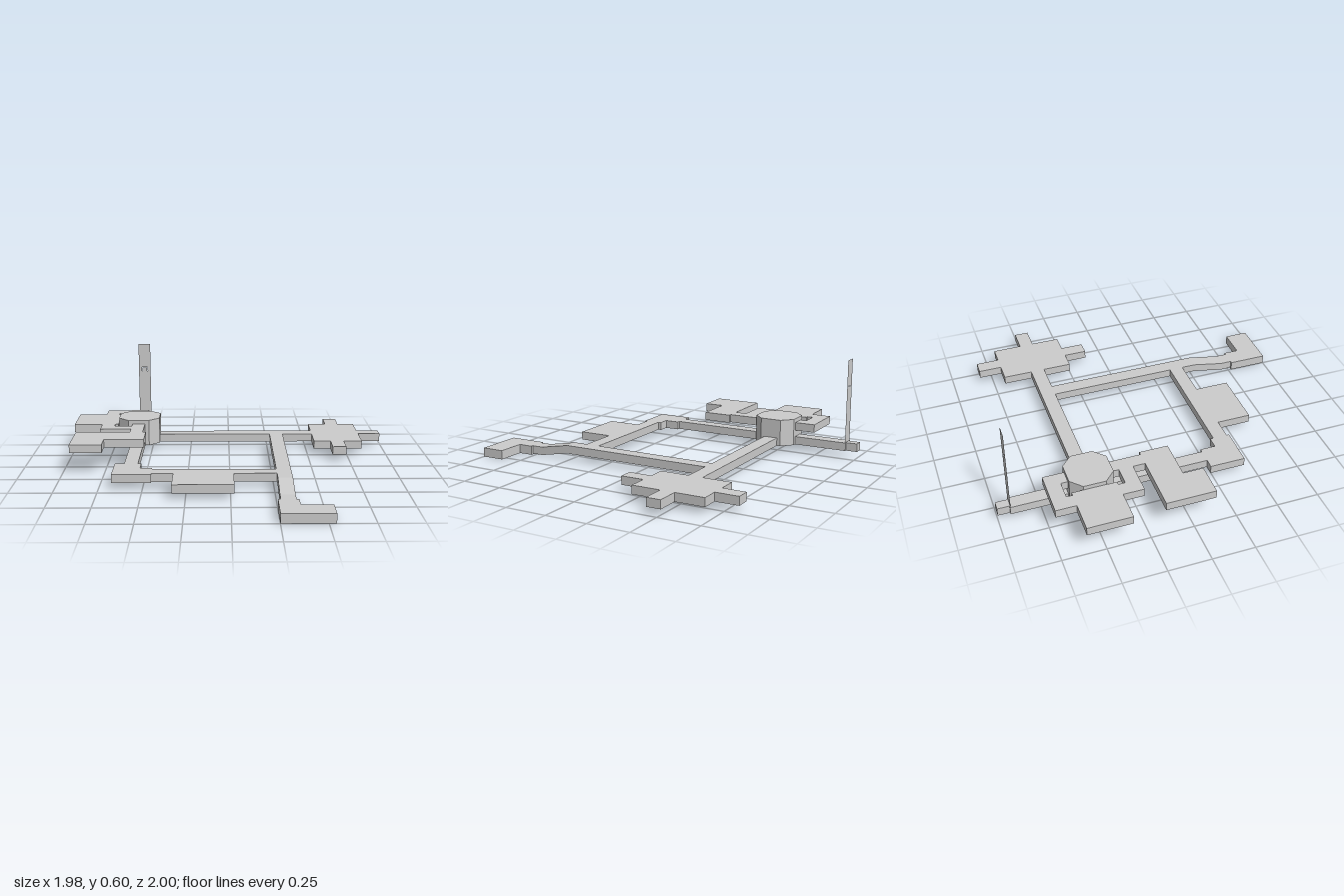
import * as THREE from 'three';

const material = new THREE.MeshStandardMaterial({ color: 0xcccccc, flatShading: true, side: THREE.DoubleSide });

const MAIN = 0.04, UPPER = 0.13, LOWER = 0.005, THICK = 0.05;

export function createModel() {
  const model = new THREE.Group();

  const add = (name, geometry) => {
    const mesh = new THREE.Mesh(geometry, material);
    mesh.name = name;
    model.add(mesh);
    return mesh;
  };

  // Floor slab from a plan outline of [x, z] corners
  const slab = (name, y, plan, height = THICK) => {
    const shape = new THREE.Shape(plan.map(([x, z]) => new THREE.Vector2(x, -z)));
    const geometry = new THREE.ExtrudeGeometry(shape, { depth: height, bevelEnabled: false });
    geometry.rotateX(-Math.PI / 2);
    geometry.translate(0, y, 0);
    return add(name, geometry);
  };
  const rect = (name, y, x0, x1, z0, z1) => slab(name, y, [[x0, z0], [x1, z0], [x1, z1], [x0, z1]]);

  // Octagonal hub joining the main and upper levels
  const hx = 0.13, hz = 0.128, cut = 0.065;
  slab('octagonHub', MAIN, [
    [-hx, -cut], [-cut, -hz], [cut, -hz], [hx, -cut],
    [hx, cut], [cut, hz], [-cut, hz], [-hx, cut],
  ].map(([x, z]) => [x - 0.58, z - 0.472]), 0.165);

  // Main level corridors
  rect('northCorridor', MAIN, -0.45, 0.54, -0.515, -0.43);
  rect('eastCorridor', MAIN, 0.265, 0.35, -0.43, 0.51);
  rect('southCorridor', MAIN, -0.45, 0.265, 0.34, 0.425);
  rect('westCorridor', MAIN, -0.62, -0.54, -0.345, 0.23);
  rect('backCorridor', MAIN, -0.62, -0.54, -0.93, -0.6);
  rect('backStub', MAIN, -0.607, -0.553, -1, -0.93);

  // Main level rooms
  rect('southRoom', MAIN, -0.325, 0.02, 0.425, 0.63);
  slab('cornerRoom', MAIN, [
    [-0.675, 0.23], [-0.52, 0.23], [-0.52, 0.32], [-0.45, 0.32], [-0.45, 0.44], [-0.675, 0.44],
  ]);
  slab('crossRoom', MAIN, [
    [0.54, -0.69], [0.655, -0.69], [0.655, -0.83], [0.74, -0.83], [0.74, -0.69], [0.845, -0.69],
    [0.845, -0.515], [0.985, -0.515], [0.985, -0.43], [0.845, -0.43], [0.845, -0.258],
    [0.73, -0.258], [0.73, -0.12], [0.645, -0.12], [0.645, -0.258], [0.54, -0.258],
  ]);

  // Ramp down to the lower room: side profile in (z, y), extruded across x
  const profile = new THREE.Shape([
    [0.51, MAIN], [0.7, LOWER], [0.77, LOWER],
    [0.77, LOWER + THICK], [0.7, LOWER + THICK], [0.51, MAIN + THICK],
  ].map(([z, y]) => new THREE.Vector2(-z, y)));
  const ramp = new THREE.ExtrudeGeometry(profile, { depth: 0.085, bevelEnabled: false });
  ramp.rotateY(Math.PI / 2);
  ramp.translate(0.265, 0, 0);
  add('ramp', ramp);
  slab('lowerRoom', 0, [
    [0.25, 0.77], [0.365, 0.77], [0.365, 0.86], [0.54, 0.86], [0.54, 1], [0.25, 1],
  ], 0.055);

  // Upper level: bracket-shaped wing around the hub
  slab('upperWing', UPPER, [
    [-0.99, -0.605], [-0.813, -0.605], [-0.813, -0.725], [-0.54, -0.725], [-0.54, -0.6],
    [-0.62, -0.6], [-0.62, -0.64], [-0.73, -0.64], [-0.73, -0.605], [-0.71, -0.605],
    [-0.71, -0.345], [-0.73, -0.345], [-0.73, -0.305], [-0.62, -0.305],
    [-0.62, -0.222], [-0.813, -0.222], [-0.813, -0.345], [-0.99, -0.345],
  ]);
  rect('upperCorridor', UPPER, -0.62, -0.54, -0.345, -0.15);
  slab('upperRoom', UPPER, [
    [-0.955, -0.15], [-0.52, -0.15], [-0.52, 0.022], [-0.762, 0.022], [-0.762, 0.143], [-0.955, 0.143],
  ]);

  // Thin upright panel with a small arch-shaped slit
  const panel = new THREE.Shape([
    [-0.62, MAIN], [-0.54, MAIN], [-0.54, 0.6], [-0.62, 0.6],
  ].map(([x, y]) => new THREE.Vector2(x, y)));
  panel.holes.push(new THREE.Path([
    [-0.6, 0.41], [-0.6, 0.44], [-0.56, 0.44], [-0.56, 0.41],
    [-0.564, 0.41], [-0.564, 0.436], [-0.596, 0.436], [-0.596, 0.41],
  ].map(([x, y]) => new THREE.Vector2(x, y))));
  add('uprightPanel', new THREE.ShapeGeometry(panel)).position.z = -0.927;

  return model;
}
